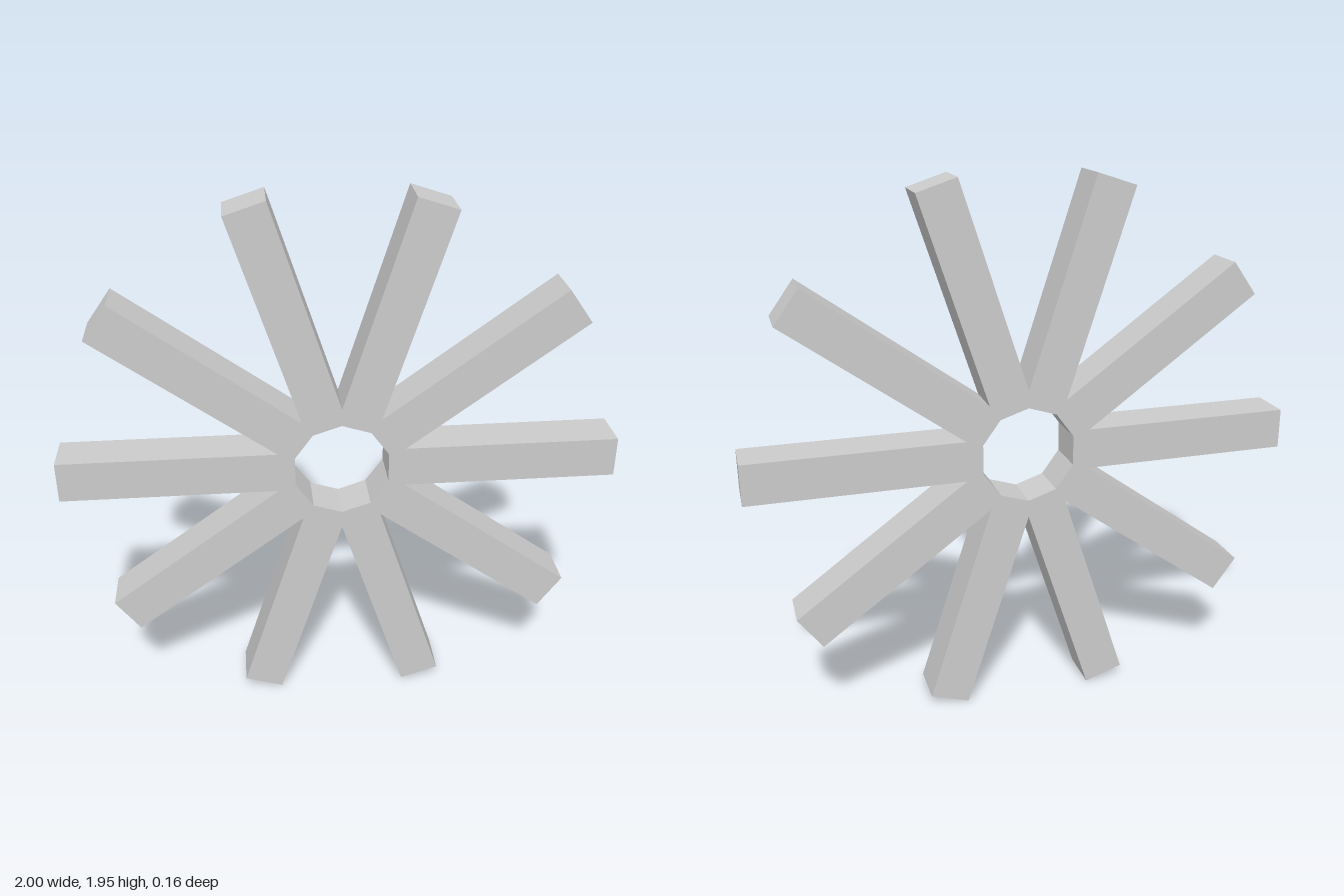
import * as THREE from 'three';

const ARMS = 10, STEP = (Math.PI * 2) / ARMS;
const REACH = 1, HALF_WIDTH = 0.074, HOLE_RADIUS = 0.176, DEPTH = 0.164;

export function createModel() {
  const group = new THREE.Group();
  group.name = 'spokedStar';

  // Outline: each arm adds its two tip corners, then the notch before the next arm
  const notch = HALF_WIDTH / Math.sin(STEP / 2);
  const outline = [], hole = [];
  for (let i = 0; i < ARMS; i++) {
    const a = i * STEP, mid = a + STEP / 2;
    const c = Math.cos(a), s = Math.sin(a);
    for (const w of [-HALF_WIDTH, HALF_WIDTH]) {
      outline.push(new THREE.Vector2(REACH * c - w * s, REACH * s + w * c));
    }
    outline.push(new THREE.Vector2(notch * Math.cos(mid), notch * Math.sin(mid)));
    // Ten-sided hub hole, its corners facing the notches
    hole.push(new THREE.Vector2(HOLE_RADIUS * Math.cos(mid), HOLE_RADIUS * Math.sin(mid)));
  }
  const shape = new THREE.Shape(outline);
  shape.holes.push(new THREE.Path(hole));

  const geometry = new THREE.ExtrudeGeometry(shape, { depth: DEPTH, bevelEnabled: false });
  geometry.translate(0, 0, -DEPTH / 2);
  geometry.computeBoundingBox();
  geometry.translate(0, -geometry.boundingBox.min.y, 0);

  const star = new THREE.Mesh(
    geometry,
    new THREE.MeshStandardMaterial({ color: 0xcccccc, flatShading: true })
  );
  star.name = 'armsAndHub';
  group.add(star);
  return group;
}
